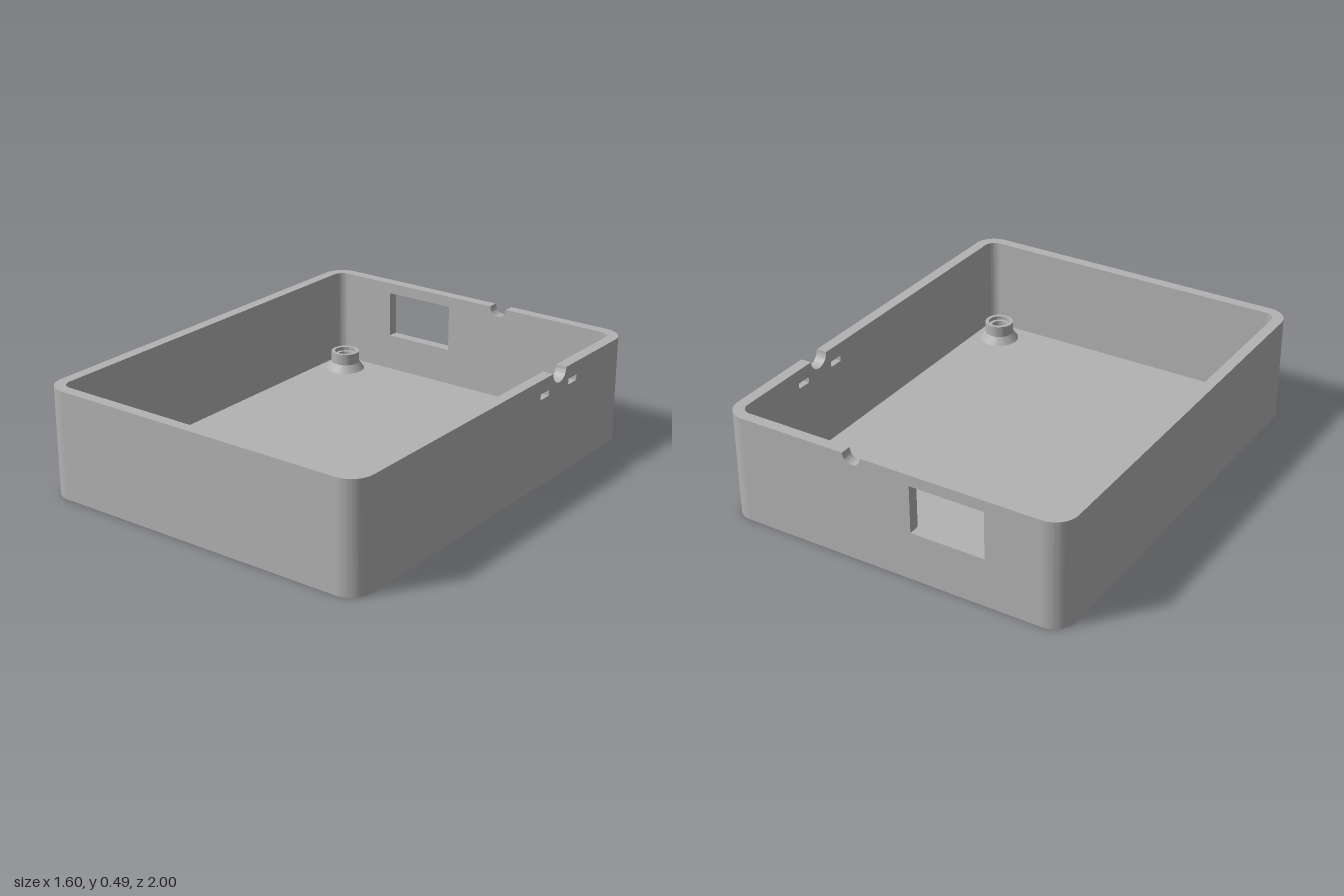
import * as THREE from 'three';
import { toCreasedNormals } from 'three/addons/utils/BufferGeometryUtils.js';

const W = 0.8, D = 1.0, H = 0.485;        // half width, half depth, height
const T = 0.05, R = 0.1, FLOOR = 0.05;    // wall thickness, corner radius, floor thickness

const plastic = new THREE.MeshStandardMaterial({ color: 0xb2b2b2 });
plastic.name = 'grey plastic';

function part(name, geometry) {
  const mesh = new THREE.Mesh(geometry, plastic);
  mesh.name = name;
  return mesh;
}

function extrude(shape, depth) {
  const g = new THREE.ExtrudeGeometry(shape, { depth, bevelEnabled: false, curveSegments: 16 });
  return toCreasedNormals(g, 0.5);
}

// Straight wall panel with an optional half-round notch in the rim and rectangular cut-outs
function wallShape(halfLength, notch, cutouts = []) {
  const s = new THREE.Shape();
  s.moveTo(-halfLength, 0);
  s.lineTo(halfLength, 0);
  s.lineTo(halfLength, H);
  if (notch) {
    s.lineTo(notch.u + notch.r, H);
    s.absarc(notch.u, H, notch.r, 0, Math.PI, true);
  }
  s.lineTo(-halfLength, H);
  s.closePath();
  for (const [u0, u1, y0, y1] of cutouts) {
    const hole = new THREE.Path();
    hole.moveTo(u0, y0);
    hole.lineTo(u0, y1);
    hole.lineTo(u1, y1);
    hole.lineTo(u1, y0);
    hole.closePath();
    s.holes.push(hole);
  }
  return s;
}

// Rounded rectangle for the floor
function roundedRect(w, d, r) {
  const s = new THREE.Shape();
  s.absarc(w - r, d - r, r, 0, Math.PI / 2);
  s.absarc(-w + r, d - r, r, Math.PI / 2, Math.PI);
  s.absarc(-w + r, -d + r, r, Math.PI, Math.PI * 1.5);
  s.absarc(w - r, -d + r, r, Math.PI * 1.5, Math.PI * 2);
  return s;
}

export function createModel() {
  const model = new THREE.Group();
  model.name = 'openEnclosure';

  // Floor, fitted inside the walls
  const floor = part('floor', extrude(roundedRect(W - T, D - T, R - T), FLOOR));
  floor.rotation.x = -Math.PI / 2;
  model.add(floor);

  // Four walls, each extruded outwards from its inner face
  const walls = [
    ['frontWall', 0, wallShape(W - R)],
    ['leftWall', Math.PI / 2, wallShape(D - R, { u: 0.425, r: 0.053 },
      [[0.275, 0.342, 0.398, 0.424], [0.5, 0.567, 0.398, 0.424]])],
    ['backWall', Math.PI, wallShape(W - R, { u: -0.16, r: 0.042 }, [[0.11, 0.45, 0.22, 0.435]])],
    ['rightWall', -Math.PI / 2, wallShape(D - R)],
  ];
  for (const [name, angle, shape] of walls) {
    const wall = part(name, extrude(shape, T));
    wall.rotation.y = angle;
    wall.position.set(Math.sin(angle) * (W - T), 0, Math.cos(angle) * (D - T));
    model.add(wall);
  }

  // Rounded corner pieces
  const quarter = new THREE.Shape();
  quarter.absarc(0, 0, R, 0, Math.PI / 2, false);
  quarter.absarc(0, 0, R - T, Math.PI / 2, 0, true);
  quarter.closePath();
  const cornerGeometry = extrude(quarter, H).rotateX(-Math.PI / 2);
  [[1, -1], [-1, -1], [-1, 1], [1, 1]].forEach(([sx, sz], i) => {
    const corner = part('corner', cornerGeometry);
    corner.rotation.y = i * Math.PI / 2;
    corner.position.set(sx * (W - R), 0, sz * (D - R));
    model.add(corner);
  });

  // Screw posts: flared foot, collar and stepped screw hole
  const profile = [
    [0.092, 0], [0.067, 0.035], [0.067, 0.088], [0.05, 0.088],
    [0.05, 0.07], [0.034, 0.07], [0.034, 0.002], [0, 0.002],
  ].map(([r, y]) => new THREE.Vector2(r, y));
  const postGeometry = toCreasedNormals(new THREE.LatheGeometry(profile, 40), 0.5);
  for (const sx of [-1, 1]) {
    for (const sz of [-1, 1]) {
      const post = part('screwPost', postGeometry);
      post.position.set(sx * 0.63, FLOOR, sz * 0.83);
      model.add(post);
    }
  }
  return model;
}
